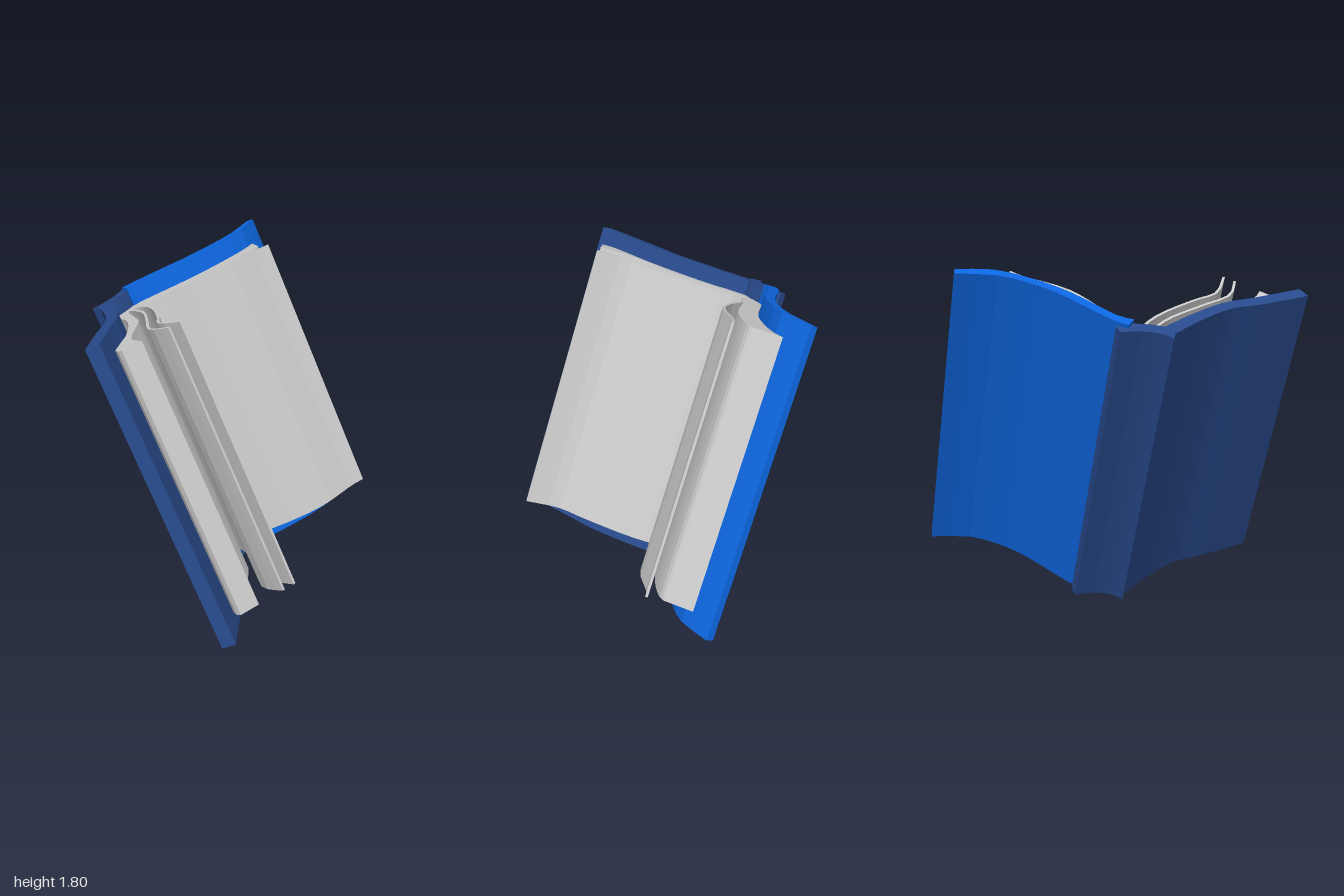
import * as THREE from 'three';

// Spine axis: every part is a cross-section swept from its top end down this axis
const AXIS = new THREE.Vector3(-0.38, 1.51, -0.52);

const material = (color) => new THREE.MeshStandardMaterial({ color, flatShading: true, side: THREE.DoubleSide });
const paper = material(0xcccccc);
const brightBlue = material(0x0d66e0);
const navyBlue = material(0x284a8c);

// Smooth polyline through a few [x, z] points
function curve(points, segments = 12) {
  return new THREE.SplineCurve(points.map(([x, z]) => new THREE.Vector2(x, z))).getPoints(segments);
}

// Prism with an (x, z) outline, ends square to the axis; level sets its height on the axis
function sweep(name, outline, level, length, mat) {
  const geometry = new THREE.ExtrudeGeometry(new THREE.Shape(outline), { depth: length, steps: 1, bevelEnabled: false });
  const { x, y, z } = AXIS;
  geometry.applyMatrix4(new THREE.Matrix4().set(
    1, 0, -x, 0,
    -x / y, -z / y, -y, level / y,
    0, 1, -z, 0,
    0, 0, 0, 1
  ));
  const mesh = new THREE.Mesh(geometry, mat);
  mesh.name = name;
  return mesh;
}

// Outline between an outer and an inner curve
const between = (outer, inner) => [...curve(outer), ...curve(inner).reverse()];

// Outline of a thin sheet following one curve
function thin(points, thickness = 0.013) {
  const front = curve(points, 14);
  const back = front.map((p, i) => {
    const a = front[Math.max(i - 1, 0)], b = front[Math.min(i + 1, front.length - 1)];
    const t = b.clone().sub(a).normalize();
    return new THREE.Vector2(p.x - t.y * thickness, p.y + t.x * thickness);
  });
  return [...front, ...back.reverse()];
}

export function createModel() {
  const book = new THREE.Group();
  book.name = 'openBook';

  // Covers and spine
  book.add(sweep('rightCover', between(
    [[-1.0, 0.13], [-0.8, -0.08], [-0.67, -0.2], [-0.56, -0.375], [-0.46, -0.58]],
    [[-0.95, 0.175], [-0.74, -0.05], [-0.62, -0.17], [-0.505, -0.35], [-0.4, -0.55]]
  ), 2.78, 1, navyBlue));

  book.add(sweep('spine', between(
    [[-0.47, -0.63], [-0.41, -0.622], [-0.32, -0.65], [-0.23, -0.71]],
    [[-0.465, -0.575], [-0.4, -0.555], [-0.27, -0.605], [-0.2, -0.675]]
  ), 2.79, 1, navyBlue));

  book.add(sweep('leftCover', between(
    [[-0.26, -0.665], [-0.18, -0.662], [0, -0.605], [0.135, -0.568], [0.27, -0.557], [0.415, -0.573], [0.6, -0.665]],
    [[-0.27, -0.605], [-0.18, -0.61], [-0.02, -0.555], [0.12, -0.52], [0.27, -0.51], [0.45, -0.53], [0.615, -0.63]]
  ), 2.82, 1, brightBlue));

  // Page blocks
  const PAGE_LEVEL = 2.65, PAGE_LENGTH = 0.885;
  book.add(sweep('rightPageBlock', between(
    [[-0.84, 0.19], [-0.83, 0.12], [-0.67, -0.03], [-0.53, -0.21], [-0.44, -0.375], [-0.41, -0.51], [-0.32, -0.55]],
    [[-0.74, 0.21], [-0.71, 0.08], [-0.587, -0.07], [-0.48, -0.19], [-0.4, -0.36], [-0.36, -0.45], [-0.31, -0.53]]
  ), PAGE_LEVEL, PAGE_LENGTH, paper));

  book.add(sweep('leftPageBlock', between(
    [[-0.33, -0.56], [-0.25, -0.59], [-0.13, -0.56], [0.03, -0.51], [0.24, -0.48], [0.43, -0.51], [0.53, -0.54]],
    [[-0.29, -0.535], [-0.16, -0.475], [-0.02, -0.43], [0.135, -0.385], [0.3, -0.365], [0.42, -0.37], [0.455, -0.39]]
  ), PAGE_LEVEL, PAGE_LENGTH, paper));

  // Loose sheets lifting off the blocks
  const sheets = {
    rightOuterSheet: [[-0.61, 0.24], [-0.61, 0.08], [-0.5, -0.1], [-0.38, -0.3], [-0.33, -0.45], [-0.32, -0.53]],
    rightInnerSheet: [[-0.55, 0.25], [-0.545, 0.07], [-0.455, -0.07], [-0.335, -0.28], [-0.28, -0.45], [-0.31, -0.535]],
    leftSheet: [[-0.3, -0.54], [-0.14, -0.465], [0, -0.375], [0.16, -0.315], [0.37, -0.32], [0.45, -0.305]],
  };
  for (const [name, points] of Object.entries(sheets)) {
    book.add(sweep(name, thin(points), PAGE_LEVEL, PAGE_LENGTH, paper));
  }

  return book;
}
